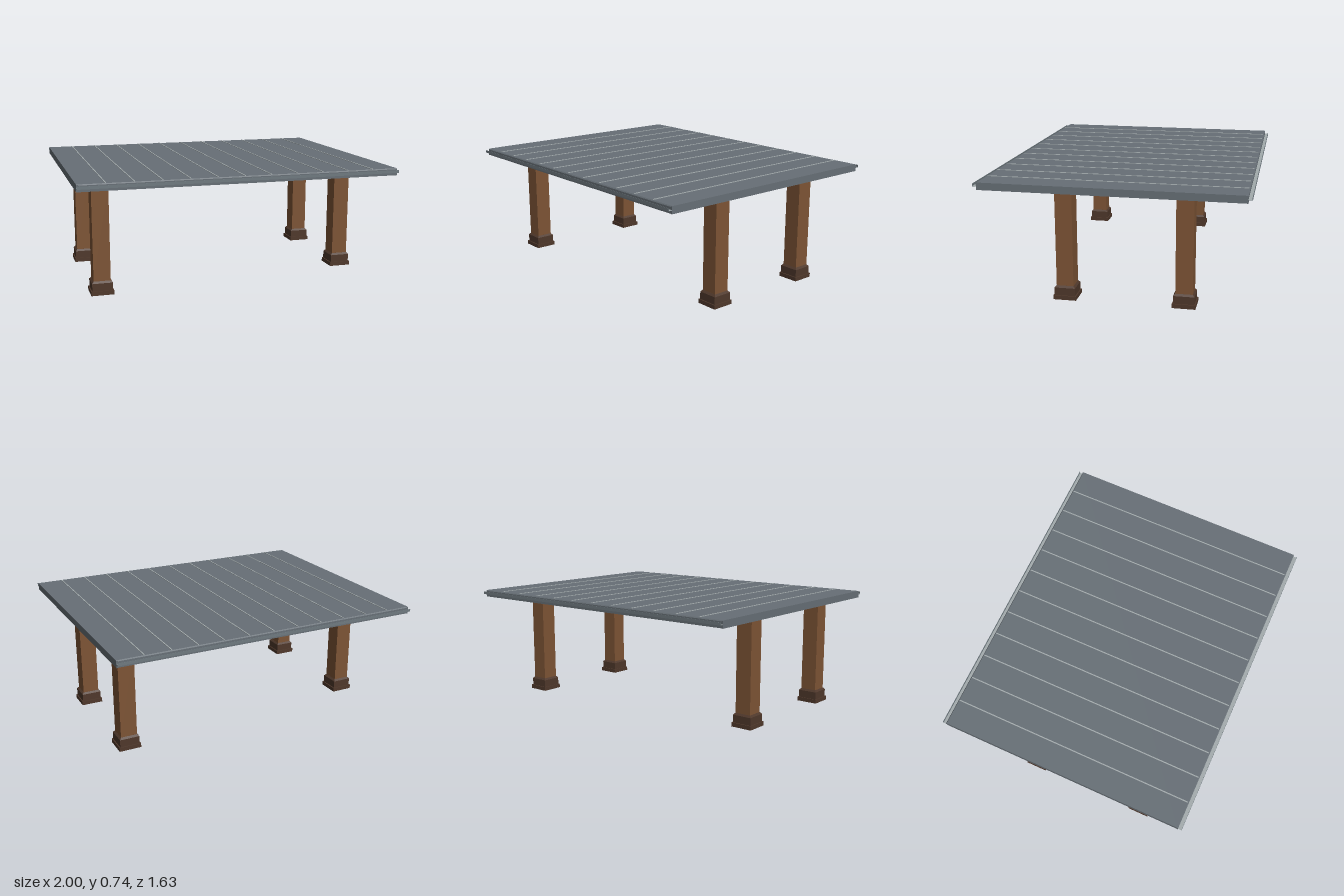
import * as THREE from 'three';

const mat = (name, color) => {
  const m = new THREE.MeshStandardMaterial({ color });
  m.name = name;
  return m;
};

export function createModel() {
  const roofGrey = mat('roof grey', 0x676f76);
  const trimGrey = mat('trim grey', 0x6f7a80);
  const paleGrey = mat('pale grey', 0xa3abad);
  const ceilingGrey = mat('ceiling warm grey', 0xb4aca4);
  const beamDark = mat('dark steel', 0x3d4444);
  const postBrown = mat('post brown', 0x7d5435);
  const baseBrown = mat('base dark brown', 0x4f382b);

  const model = new THREE.Group();
  model.name = 'patioCover';

  const box = (parent, name, material, w, h, d, x, y, z) => {
    const mesh = new THREE.Mesh(new THREE.BoxGeometry(w, h, d), material);
    mesh.name = name;
    mesh.position.set(x, y, z);
    parent.add(mesh);
  };

  // Square tapered block, for the bevel above the plinth
  const taper = (parent, name, material, bottom, top, y0, y1) => {
    const g = new THREE.CylinderGeometry(top * Math.SQRT1_2, bottom * Math.SQRT1_2, y1 - y0, 4, 1).toNonIndexed();
    g.rotateY(Math.PI / 4);
    g.computeVertexNormals();
    const mesh = new THREE.Mesh(g, material);
    mesh.name = name;
    mesh.position.y = (y0 + y1) / 2;
    parent.add(mesh);
  };

  // Roof deck with slightly chamfered front and back edges
  const roof = new THREE.Group();
  roof.name = 'roof';
  model.add(roof);
  const profile = new THREE.Shape([
    [-0.79, 0.717], [0.79, 0.717], [0.79, 0.729], [0.785, 0.735], [-0.785, 0.735], [-0.79, 0.729],
  ].map(([z, y]) => new THREE.Vector2(z, y)));
  const deckGeo = new THREE.ExtrudeGeometry(profile, { depth: 2, bevelEnabled: false });
  deckGeo.translate(0, 0, -1);
  deckGeo.rotateY(Math.PI / 2);
  const deck = new THREE.Mesh(deckGeo, roofGrey);
  deck.name = 'roofDeck';
  roof.add(deck);
  box(roof, 'ceiling', ceilingGrey, 1.97, 0.004, 1.55, 0, 0.715, 0);

  // Standing seams
  for (let i = -5; i <= 5; i++) {
    box(roof, 'seam', paleGrey, 0.007, 0.004, 1.565, i / 6, 0.736, 0);
  }

  for (const s of [-1, 1]) {
    // Edge boards and open gutters with a pale lining
    box(roof, 'sideFascia', roofGrey, 0.012, 0.042, 1.58, s * 0.994, 0.711, 0);
    box(roof, 'endFascia', roofGrey, 2, 0.028, 0.012, 0, 0.705, s * 0.784);
    box(roof, 'gutterFloor', trimGrey, 2, 0.002, 0.025, 0, 0.711, s * 0.8015);
    box(roof, 'gutterLining', paleGrey, 2, 0.001, 0.022, 0, 0.7125, s * 0.801);
    box(roof, 'gutterLip', trimGrey, 2, 0.016, 0.002, 0, 0.719, s * 0.813);
    // Main beam above each pair of posts
    box(roof, 'mainBeam', beamDark, 0.09, 0.024, 1.555, s * 0.833, 0.704, 0);
  }

  // Purlins under the ceiling
  for (let i = 0; i < 6; i++) {
    box(roof, 'purlin', beamDark, 1.976, 0.016, 0.03, 0, 0.707, (i - 2.5) * 0.225);
  }

  // Posts with stepped plinths and caps
  const posts = [[-0.833, 0.493], [-0.833, -0.29], [0.833, 0.3], [0.833, -0.427]];
  for (const [x, z] of posts) {
    const post = new THREE.Group();
    post.name = 'post';
    post.position.set(x, 0, z);
    model.add(post);
    box(post, 'plinth', baseBrown, 0.141, 0.026, 0.141, 0, 0.013, 0);
    box(post, 'baseBlock', baseBrown, 0.127, 0.048, 0.127, 0, 0.05, 0);
    taper(post, 'baseBevel', baseBrown, 0.127, 0.106, 0.074, 0.086);
    box(post, 'shaft', postBrown, 0.105, 0.592, 0.105, 0, 0.376, 0);
    box(post, 'capLower', postBrown, 0.12, 0.013, 0.12, 0, 0.6715, 0);
    box(post, 'capUpper', postBrown, 0.138, 0.013, 0.138, 0, 0.6845, 0);
  }
  return model;
}
